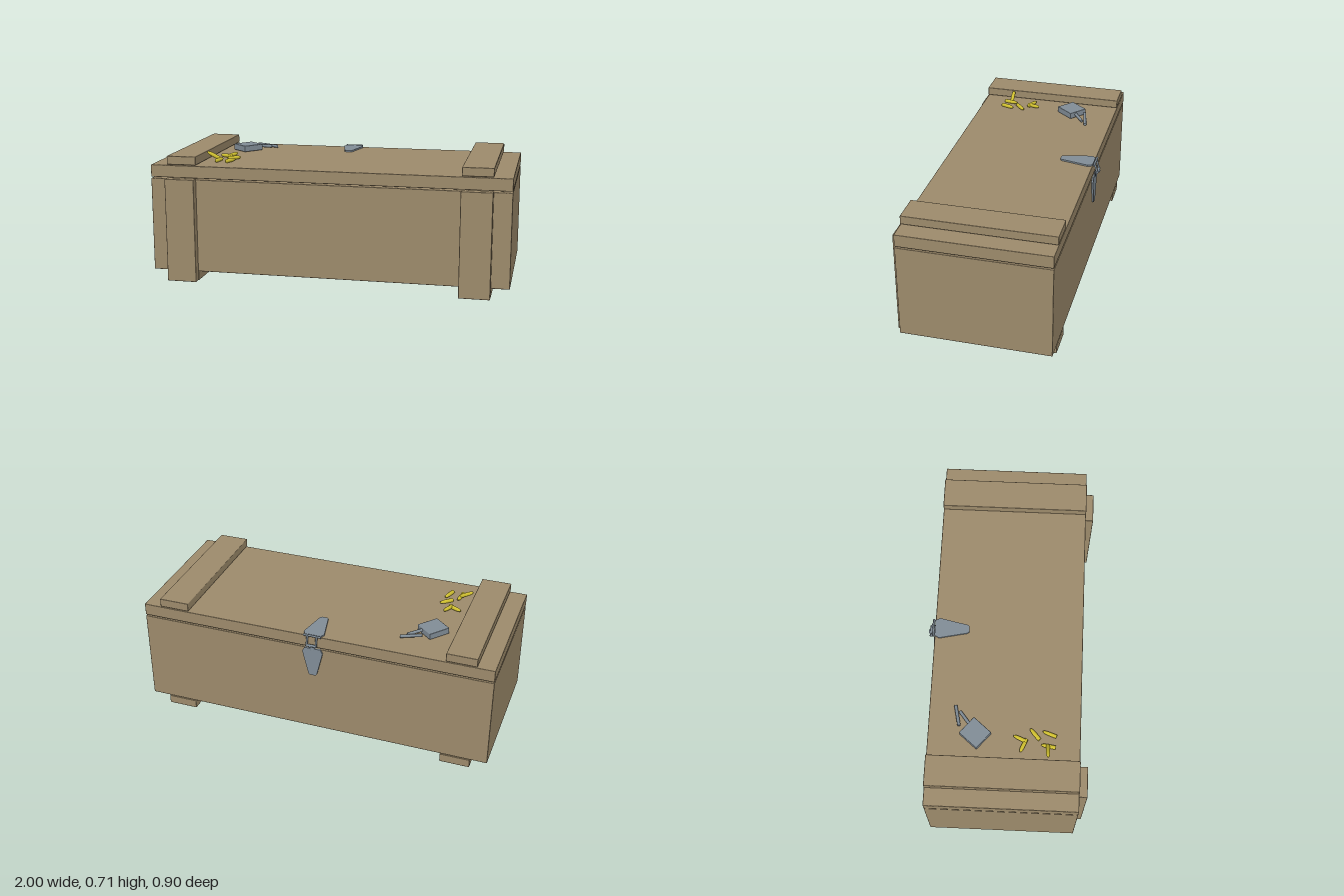
import * as THREE from 'three';
import { RoundedBoxGeometry } from 'three/addons/geometries/RoundedBoxGeometry.js';

const flat = (name, color) => Object.assign(new THREE.MeshStandardMaterial({ color }), { name });

export function createModel() {
  const wood = flat('wood', 0x9c8a6b);
  const steel = flat('steel', 0x808c96);
  const brass = flat('brass', 0xd0c030);
  const model = new THREE.Group();

  const add = (name, geometry, material, parent = model) => {
    const mesh = new THREE.Mesh(geometry, material);
    mesh.name = name;
    parent.add(mesh);
    return mesh;
  };
  // Plank given by its limits on each axis
  const plank = (name, x0, x1, y0, y1, z0, z1) => {
    const g = new RoundedBoxGeometry(x1 - x0, y1 - y0, z1 - z0, 1, 0.004);
    add(name, g, wood).position.set((x0 + x1) / 2, (y0 + y1) / 2, (z0 + z1) / 2);
  };
  // Round or square rod between two points
  const up = new THREE.Vector3(0, 1, 0);
  const rod = (name, a, b, radius, sides, material, parent) => {
    const p = new THREE.Vector3(...a), q = new THREE.Vector3(...b);
    const m = add(name, new THREE.CylinderGeometry(radius, radius, p.distanceTo(q), sides), material, parent);
    m.position.copy(p).add(q).multiplyScalar(0.5);
    m.quaternion.setFromUnitVectors(up, q.sub(p).normalize());
    return m;
  };

  // Crate and lid
  plank('crateBody', -1, 1, 0.054, 0.58, -0.415, 0.405);
  plank('lid', -1, 1, 0.587, 0.656, -0.415, 0.405);

  // Battens across the lid, down the front and under the floor
  for (const [x0, x1] of [[-0.905, -0.737], [0.73, 0.9]]) {
    plank('lidBatten', x0, x1, 0.66, 0.708, -0.415, 0.405);
    plank('frontBatten', x0, x1, 0.003, 0.587, 0.406, 0.452);
    plank('floorBatten', x0, x1, 0, 0.05, -0.415, 0.405);
  }

  // Hasp: tapered plates on lid and back, joined by a folding clasp
  const hasp = new THREE.Group();
  hasp.name = 'hasp';
  hasp.position.x = -0.005;
  model.add(hasp);
  const leaf = (length) => {
    const s = new THREE.Shape();
    s.moveTo(-0.045, 0);
    s.lineTo(-0.058, 0.025);
    s.lineTo(-0.024, length - 0.008);
    s.lineTo(-0.016, length);
    s.lineTo(0.016, length);
    s.lineTo(0.024, length - 0.008);
    s.lineTo(0.058, 0.025);
    s.lineTo(0.045, 0);
    return new THREE.ExtrudeGeometry(s, { depth: 0.009, bevelEnabled: false });
  };
  const top = add('lidPlate', leaf(0.19), steel, hasp);
  top.rotation.x = Math.PI / 2;
  top.position.set(0, 0.665, -0.415);
  const back = add('backPlate', leaf(0.172), steel, hasp);
  back.rotation.x = Math.PI;
  back.position.set(0, 0.582, -0.415);
  rod('hingePin', [-0.05, 0.662, -0.423], [0.05, 0.662, -0.423], 0.006, 8, steel, hasp);
  for (const x of [-0.026, 0.026]) {
    rod('claspArm', [x, 0.664, -0.424], [x, 0.612, -0.438], 0.006, 8, steel, hasp);
  }
  rod('claspBar', [-0.03, 0.61, -0.439], [0.03, 0.61, -0.439], 0.008, 8, steel, hasp);
  const hookPath = new THREE.CatmullRomCurve3([
    [0.57, -0.422], [0.592, -0.422], [0.607, -0.428], [0.61, -0.44], [0.604, -0.45],
  ].map(([y, z]) => new THREE.Vector3(0, y, z)));
  add('claspHook', new THREE.TubeGeometry(hookPath, 12, 0.005, 6), steel, hasp).scale.x = 3;

  // Opened padlock lying on the lid
  const lock = add('padlockBody', new RoundedBoxGeometry(0.117, 0.036, 0.126, 1, 0.004), steel);
  lock.position.set(-0.602, 0.677, -0.16);
  lock.rotation.y = -0.7;
  rod('padlockShackle', [-0.565, 0.682, -0.248], [-0.45, 0.666, -0.273], 0.009, 8, steel);
  rod('padlockShackle', [-0.55, 0.68, -0.195], [-0.483, 0.67, -0.247], 0.009, 8, steel);

  // Loose cartridges, each from base to tip
  const profile = [[0, 0], [0.011, 0], [0.011, 0.05], [0.0095, 0.064], [0.006, 0.075], [0, 0.08]]
    .map(([r, y]) => new THREE.Vector2(r, y));
  const cartridge = new THREE.LatheGeometry(profile, 10);
  const spots = [
    [[-0.62, 0.667, 0.115], [-0.7, 0.667, 0.08]],
    [[-0.635, 0.668, 0.118], [-0.605, 0.674, 0.045]],
    [[-0.62, 0.667, 0.185], [-0.56, 0.667, 0.132]],
    [[-0.655, 0.673, 0.23], [-0.738, 0.716, 0.234]],
    [[-0.66, 0.667, 0.272], [-0.648, 0.667, 0.195]],
    [[-0.6, 0.667, 0.275], [-0.573, 0.667, 0.2]],
  ];
  for (const [a, b] of spots) {
    const p = new THREE.Vector3(...a);
    const c = add('cartridge', cartridge, brass);
    c.position.copy(p);
    c.quaternion.setFromUnitVectors(up, new THREE.Vector3(...b).sub(p).normalize());
  }
  return model;
}
